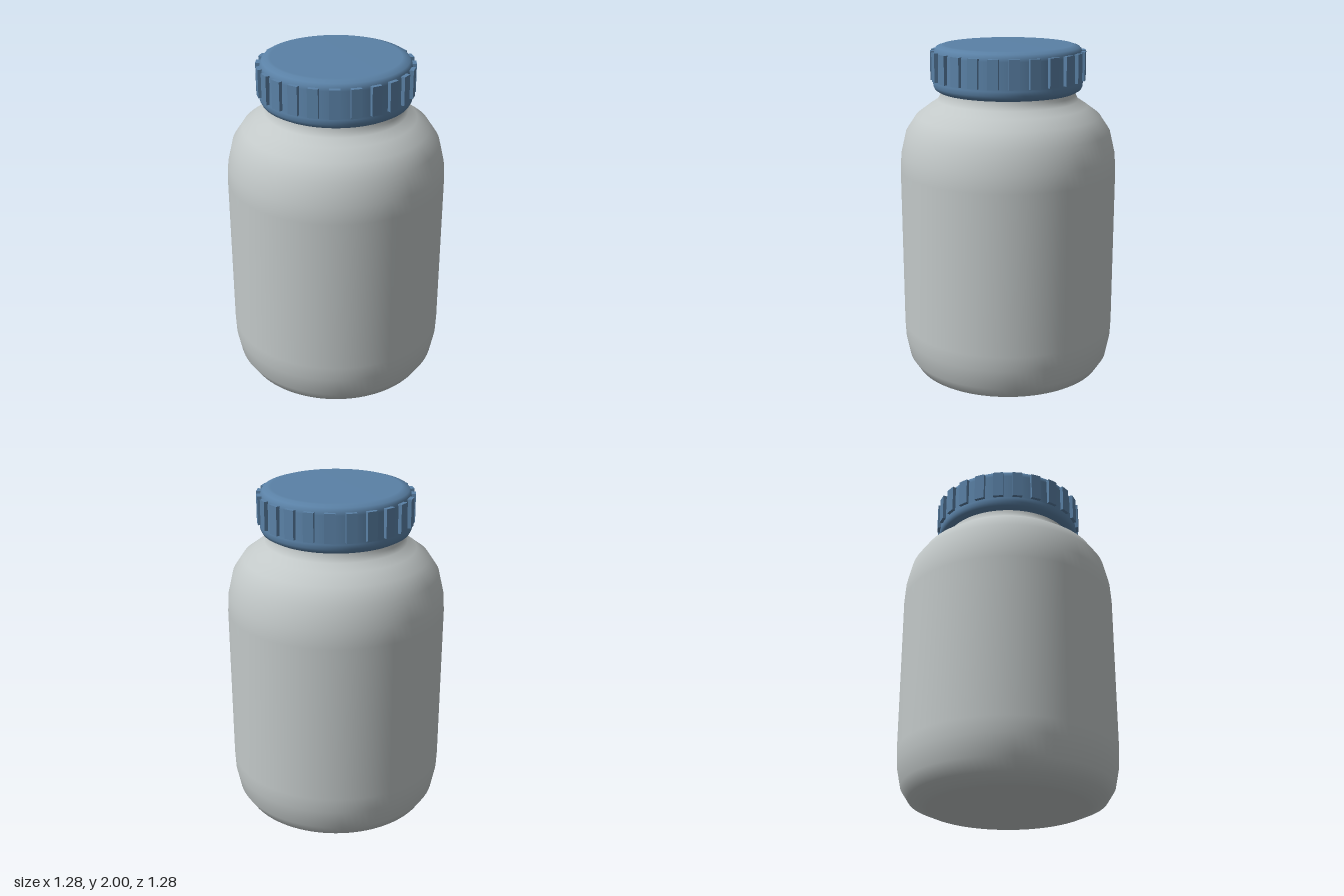
import * as THREE from 'three';

const bodyMat = new THREE.MeshStandardMaterial({ name: 'pale grey plastic', color: 0xc2c8c8 });
const lidMat = new THREE.MeshStandardMaterial({ name: 'blue plastic', color: 0x5a81a6 });

// Smooth solid of revolution from [radius, height] pairs, bottom to top
function lathe(name, profile, material) {
  const points = profile.map(([r, y]) => new THREE.Vector2(r, y));
  const mesh = new THREE.Mesh(new THREE.LatheGeometry(points, 96), material);
  mesh.name = name;
  return mesh;
}

export function createModel() {
  const model = new THREE.Group();
  model.name = 'jar';

  // Jar body with rounded base, straight wall, shoulder and neck
  model.add(lathe('body', [
    [0, 0], [0.46, 0], [0.485, 0.005], [0.565, 0.04], [0.61, 0.11], [0.634, 0.23], [0.638, 0.32],
    [0.638, 1.27], [0.631, 1.37], [0.6, 1.5], [0.54, 1.59], [0.466, 1.645],
    [0.412, 1.68], [0.397, 1.71], [0.392, 1.74], [0.39, 1.8], [0, 1.8],
  ], bodyMat));

  // Screw lid with rounded rims
  const lid = new THREE.Group();
  lid.name = 'lid';
  lid.add(lathe('cap', [
    [0, 1.73], [0.39, 1.73], [0.4, 1.731], [0.425, 1.745], [0.435, 1.765], [0.436, 1.79],
    [0.432, 1.8], [0.43, 1.95], [0.426, 1.97], [0.415, 1.988], [0.385, 1.998], [0.37, 2], [0, 2],
  ], lidMat));

  // Grip ribs around the lid
  const ribGeometry = new THREE.BoxGeometry(0.06, 0.165, 0.03);
  const count = 24;
  for (let i = 0; i < count; i++) {
    const angle = (i / count) * Math.PI * 2;
    const rib = new THREE.Mesh(ribGeometry, lidMat);
    rib.name = 'gripRib';
    rib.position.set(Math.sin(angle) * 0.436, 1.883, Math.cos(angle) * 0.436);
    rib.rotation.y = angle;
    lid.add(rib);
  }
  model.add(lid);
  return model;
}
